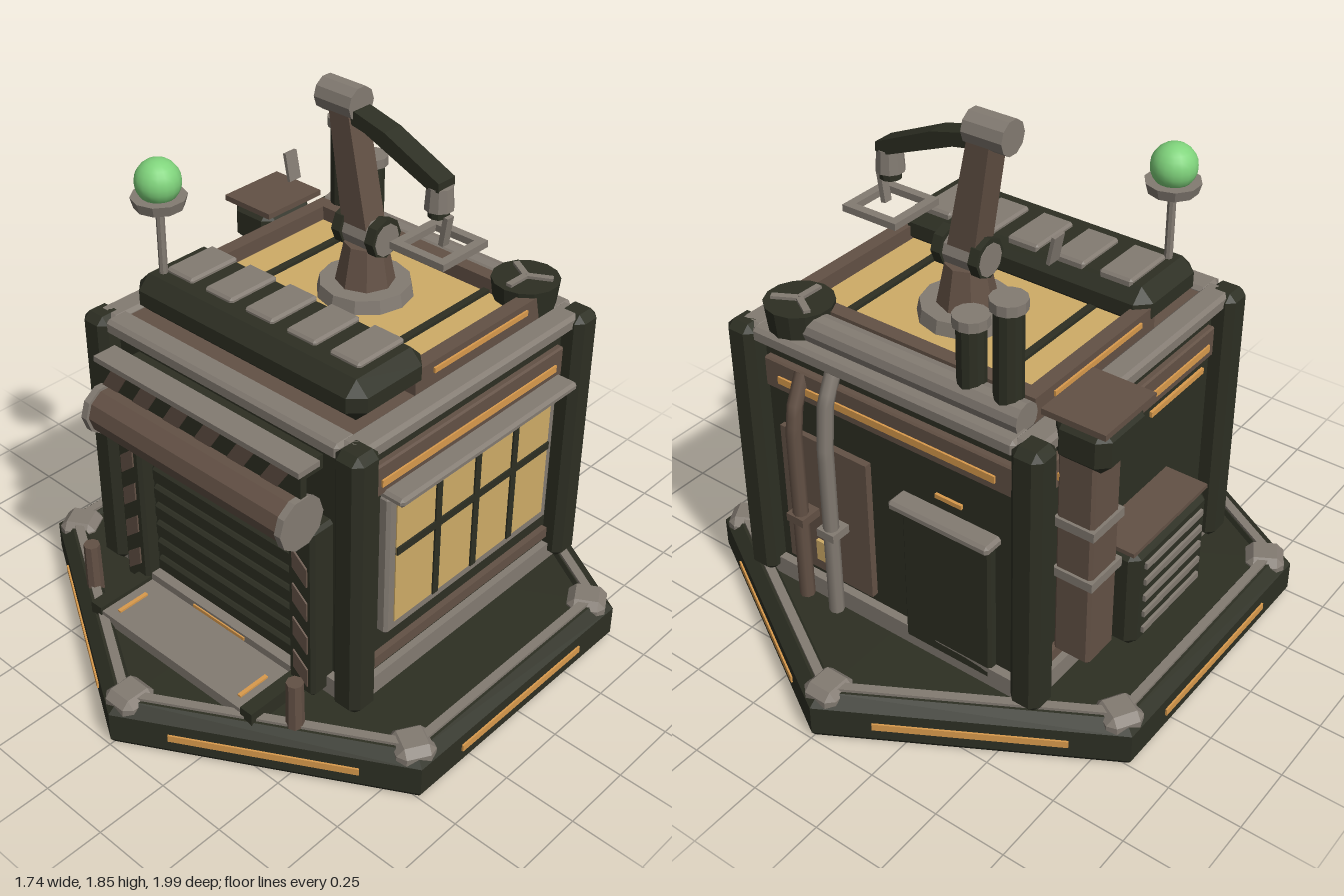
import * as THREE from 'three';
import { ConvexGeometry } from 'three/addons/geometries/ConvexGeometry.js';

const mat = (name, color) => {
  const m = new THREE.MeshStandardMaterial({ color });
  m.name = name;
  return m;
};

export function createModel() {
  const root = new THREE.Group();
  root.name = 'workshop';
  const dark = mat('dark olive', 0x2d2f23), grey = mat('warm grey', 0x837b72), brown = mat('brown', 0x635145);
  const glass = mat('yellow glass', 0xcfac67), amber = mat('amber light', 0xd99a4c), green = mat('green light', 0x80d47c);

  const flat = (g) => {
    const n = g.index ? g.toNonIndexed() : g;
    n.computeVertexNormals();
    return n;
  };
  const add = (name, g, m, x = 0, y = 0, z = 0) => {
    const mesh = new THREE.Mesh(g, m);
    mesh.name = name;
    mesh.position.set(x, y, z);
    root.add(mesh);
    return mesh;
  };
  // box with its edges cut at 45 degrees
  const chamfered = (w, h, d, c) => {
    const pts = [];
    for (const sx of [-1, 1]) for (const sy of [-1, 1]) for (const sz of [-1, 1]) {
      const x = w / 2, y = h / 2, z = d / 2;
      pts.push(new THREE.Vector3(sx * x, sy * (y - c), sz * (z - c)),
        new THREE.Vector3(sx * (x - c), sy * y, sz * (z - c)),
        new THREE.Vector3(sx * (x - c), sy * (y - c), sz * z));
    }
    return new ConvexGeometry(pts);
  };
  // box given by its limits on each axis
  const box = (name, m, x0, x1, y0, y1, z0, z1, c = 0) => {
    const w = x1 - x0, h = y1 - y0, d = z1 - z0;
    return add(name, c ? chamfered(w, h, d, c) : new THREE.BoxGeometry(w, h, d), m,
      (x0 + x1) / 2, (y0 + y1) / 2, (z0 + z1) / 2);
  };
  const cyl = (name, m, rTop, rBot, h, x, y, z, axis = 'y', sides = 12) => {
    const g = flat(new THREE.CylinderGeometry(rTop, rBot, h, sides));
    if (axis === 'x') g.rotateZ(Math.PI / 2);
    return add(name, g, m, x, y, z);
  };
  // flat polygon in xy pushed out along z, centred on z
  const plate = (name, m, pts, depth, z) => {
    const shape = new THREE.Shape(pts.map(([x, y]) => new THREE.Vector2(x, y)));
    return add(name, new THREE.ExtrudeGeometry(shape, { depth, bevelEnabled: false }), m, 0, 0, z - depth / 2);
  };

  // hexagonal platform
  const ring = (pts) => flat(new THREE.LatheGeometry(pts.map(([r, y]) => new THREE.Vector2(r, y)), 6));
  add('platform', ring([[0, 0], [0.98, 0], [0.995, 0.02], [0.995, 0.125], [0.95, 0.16], [0.9, 0.16], [0.89, 0.145], [0, 0.145]]), dark);
  add('platformTrim', ring([[0.94, 0.14], [0.94, 0.17], [0.905, 0.17], [0.905, 0.14]]), grey);
  for (let i = 0; i < 6; i++) {
    const a = i * Math.PI / 3, b = a + Math.PI / 6;
    add('cornerCap', chamfered(0.13, 0.176, 0.13, 0.025), grey, Math.sin(a) * 0.905, 0.088, Math.cos(a) * 0.905).rotation.y = a;
    add('platformLight', new THREE.BoxGeometry(0.61, 0.025, 0.01), amber, Math.sin(b) * 0.863, 0.073, Math.cos(b) * 0.863).rotation.y = b;
  }

  // building shell
  box('walls', dark, -0.53, 0.53, 0.14, 1.1, -0.57, 0.44);
  box('plinth', grey, -0.555, 0.555, 0.145, 0.215, -0.6, 0.47);
  for (const x of [-0.545, 0.545]) for (const z of [-0.585, 0.455])
    box('cornerPost', dark, x - 0.055, x + 0.055, 0.16, 1.14, z - 0.055, z + 0.055, 0.025);
  box('roofDeck', brown, -0.5, 0.5, 1.08, 1.125, -0.55, 0.42);
  for (const s of [-1, 1]) {
    box('sideRim', grey, s * 0.525 - 0.045, s * 0.525 + 0.045, 1.085, 1.14, -0.6, 0.46, 0.012);
    box('endRim', grey, -0.5, 0.5, 1.085, 1.14, s < 0 ? -0.62 : 0.4, s < 0 ? -0.53 : 0.49, 0.012);
    // side bands with light strips
    const sx = (a, b) => (s > 0 ? [a, b] : [-b, -a]);
    box('upperBand', brown, ...sx(0.52, 0.552), 0.92, 1.03, -0.52, 0.39, 0.006);
    box('lowerBand', brown, ...sx(0.52, 0.552), 0.25, 0.29, -0.52, 0.39);
    box('bandLight', amber, ...sx(0.55, 0.558), 0.953, 0.978, -0.48, 0.355);
    box('skylightSide', brown, ...sx(0.43, 0.48), 1.12, 1.21, -0.47, 0.13);
    box('roofLight', amber, ...sx(0.478, 0.487), 1.17, 1.188, -0.4, 0.05);
  }
  box('sideWallLight', amber, -0.54, -0.528, 0.86, 0.88, 0.05, 0.36);

  // large window on the left side
  box('windowFrame', grey, 0.52, 0.565, 0.37, 0.9, -0.485, 0.335, 0.01);
  box('windowPane', glass, 0.56, 0.569, 0.41, 0.865, -0.45, 0.3);
  for (const z of [0.11, -0.077, -0.265]) box('windowBar', dark, 0.565, 0.575, 0.41, 0.865, z - 0.013, z + 0.013);
  box('windowCrossBar', dark, 0.565, 0.575, 0.675, 0.702, -0.45, 0.3);
  box('windowHood', grey, 0.53, 0.625, 0.9, 0.932, -0.51, 0.345, 0.01);

  // skylight
  box('skylightBack', brown, -0.48, 0.48, 1.12, 1.21, -0.49, -0.44);
  box('skylightPane', glass, -0.43, 0.43, 1.12, 1.16, -0.44, 0.1);
  for (const x of [-0.29, 0.29]) box('skylightBar', dark, x - 0.012, x + 0.012, 1.15, 1.172, -0.44, 0.1);

  // padded roof housing at the front
  box('roofHousing', dark, -0.485, 0.485, 1.13, 1.27, 0.065, 0.39, 0.045);
  for (let i = -2; i <= 2; i++) box('roofPad', grey, i * 0.175 - 0.06, i * 0.175 + 0.06, 1.25, 1.285, 0.1, 0.3, 0.008);

  // roller door
  box('door', dark, -0.33, 0.33, 0.16, 0.82, 0.43, 0.475);
  for (let i = 0; i < 8; i++) box('doorSlat', dark, -0.32, 0.32, 0.225 + i * 0.075, 0.285 + i * 0.075, 0.47, 0.495, 0.01);
  box('doorSill', grey, -0.33, 0.33, 0.18, 0.213, 0.46, 0.515);
  box('doorSillLight', amber, -0.12, 0.12, 0.192, 0.204, 0.513, 0.52);
  cyl('rollDrum', brown, 0.08, 0.08, 0.83, 0, 0.88, 0.57, 'x', 10);
  box('hazardBoard', dark, -0.44, 0.44, 0.972, 1.052, 0.55, 0.575);
  box('boardHood', grey, -0.445, 0.445, 1.052, 1.072, 0.5, 0.587);
  box('boardBracket', dark, -0.4, 0.4, 0.99, 1.04, 0.43, 0.55);
  for (let i = 0; i < 6; i++) {
    const x = -0.42 + i * 0.14;
    plate('hazardStripe', brown, [[x, 0.974], [x + 0.07, 0.974], [x + 0.12, 1.05], [x + 0.05, 1.05]], 0.006, 0.577);
  }
  for (const s of [-1, 1]) {
    cyl('drumEnd', grey, 0.09, 0.09, 0.025, s * 0.427, 0.88, 0.57, 'x', 10);
    box('doorJamb', dark, s * 0.387 - 0.055, s * 0.387 + 0.055, 0.16, 0.82, 0.43, 0.53, 0.012);
    for (let i = 0; i < 4; i++) {
      const y = 0.25 + i * 0.135, p = [[0.36, y], [0.42, y - 0.05], [0.42, y + 0.02], [0.36, y + 0.07]].map(([x, v]) => [s * x, v]);
      plate('jambStripe', brown, p, 0.006, 0.533);
    }
    cyl('bollard', brown, 0.028, 0.03, 0.19, s * 0.475, 0.24, 0.645, 'y', 8);
    box('rampSide', dark, s * 0.355 - 0.025, s * 0.355 + 0.025, 0.14, 0.2, 0.5, 0.74);
    box('rampLight', amber, s * 0.285 - 0.007, s * 0.285 + 0.007, 0.18, 0.192, 0.58, 0.7);
  }
  box('ramp', grey, -0.33, 0.33, 0.14, 0.185, 0.48, 0.735);

  // beacon
  cyl('beaconPole', grey, 0.014, 0.014, 0.32, -0.41, 1.36, 0.31, 'y', 8);
  cyl('beaconDish', grey, 0.09, 0.08, 0.035, -0.41, 1.522, 0.31, 'y', 10);
  add('beaconLamp', new THREE.SphereGeometry(0.074, 18, 12), green, -0.41, 1.588, 0.31);

  // chimneys, roof pipe and fan along the back
  for (const [x, top] of [[-0.41, 1.53], [-0.28, 1.43]]) {
    cyl('chimney', dark, 0.045, 0.045, top - 1.12, x, (top + 1.1) / 2, -0.52);
    cyl('chimneyCap', grey, 0.056, 0.056, 0.033, x, top - 0.016, -0.52);
  }
  cyl('roofPipe', grey, 0.052, 0.052, 0.8, -0.08, 1.165, -0.53, 'x');
  cyl('fanHousing', dark, 0.112, 0.1, 0.11, 0.39, 1.17, -0.51, 'y', 14);
  for (let i = 0; i < 3; i++) {
    const a = 0.5 + i * Math.PI * 2 / 3;
    add('fanBlade', new THREE.BoxGeometry(0.085, 0.012, 0.022), grey, 0.39 + Math.cos(a) * 0.045, 1.229, -0.51 - Math.sin(a) * 0.045).rotation.y = a;
  }

  // robot arm, all in the plane z = az
  const az = -0.18;
  cyl('armDisc', grey, 0.15, 0.16, 0.05, 0, 1.18, az);
  cyl('armPedestal', brown, 0.07, 0.1, 0.15, 0, 1.265, az, 'y', 8);
  cyl('shoulder', grey, 0.055, 0.055, 0.18, 0, 1.375, az, 'x', 10);
  for (const s of [-1, 1]) cyl('shoulderCap', dark, 0.067, 0.067, 0.035, s * 0.07, 1.38, az, 'x', 8);
  plate('lowerArm', brown, [[-0.055, 1.36], [0.05, 1.36], [-0.04, 1.78], [-0.12, 1.78]], 0.09, az);
  cyl('elbow', grey, 0.056, 0.056, 0.145, -0.098, 1.798, az, 'x', 10);
  plate('upperArm', dark, [[-0.06, 1.745], [0.02, 1.73], [0.27, 1.63], [0.315, 1.63], [0.315, 1.66], [0.1, 1.755], [-0.02, 1.785], [-0.06, 1.785]], 0.075, az);
  cyl('wrist', grey, 0.042, 0.047, 0.075, 0.29, 1.598, az, 'y', 10);
  cyl('wristCollar', dark, 0.035, 0.035, 0.03, 0.29, 1.55, az, 'y', 10);
  add('toolRod', new THREE.BoxGeometry(0.018, 0.1, 0.03), grey, 0.32, 1.495, az).rotation.z = -0.15;
  box('toolLight', amber, 0.275, 0.305, 1.53, 1.545, az - 0.015, az + 0.015);
  for (const s of [-1, 1]) {
    box('toolFrameBar', grey, 0.19, 0.4, 1.427, 1.45, az + s * 0.09 - 0.015, az + s * 0.09 + 0.015);
    box('toolFrameBar', grey, 0.295 + s * 0.09 - 0.015, 0.295 + s * 0.09 + 0.015, 1.427, 1.45, az - 0.08, az + 0.08);
  }
  add('sensorPlate', new THREE.BoxGeometry(0.012, 0.095, 0.05), grey, -0.322, 1.495, az).rotation.z = 0.2;

  // air handler on the right side
  box('handlerTop', dark, -0.73, -0.54, 1.04, 1.195, -0.51, -0.28, 0.035);
  box('handlerLid', brown, -0.735, -0.52, 1.193, 1.213, -0.52, -0.265);
  box('duct', brown, -0.68, -0.55, 0.3, 1.06, -0.48, -0.34, 0.01);
  for (const y of [0.62, 0.81]) box('ductBand', grey, -0.69, -0.55, y - 0.016, y + 0.016, -0.49, -0.33);
  box('coolerBox', dark, -0.705, -0.53, 0.21, 0.595, -0.27, 0.16, 0.03);
  box('coolerLid', brown, -0.695, -0.54, 0.59, 0.605, -0.27, 0.16);
  for (let i = 0; i < 5; i++) box('coolerFin', grey, -0.715, -0.7, 0.26 + i * 0.065, 0.283 + i * 0.065, -0.22, 0.11);

  // back wall: band, door, service panel and pipes
  box('backBand', brown, -0.48, 0.48, 0.92, 1.03, -0.595, -0.56, 0.006);
  box('backLight', amber, -0.42, 0.42, 0.953, 0.978, -0.602, -0.593);
  box('backDoor', dark, -0.4, -0.06, 0.17, 0.7, -0.6, -0.56, 0.01);
  box('backDoorHood', grey, -0.42, -0.04, 0.7, 0.735, -0.64, -0.56, 0.01);
  box('backDoorLamp', amber, -0.28, -0.18, 0.775, 0.79, -0.58, -0.565);
  box('servicePanel', brown, 0.08, 0.26, 0.25, 0.78, -0.595, -0.56);
  box('servicePanel', brown, 0.28, 0.44, 0.25, 0.78, -0.59, -0.56);
  box('panelWindow', glass, 0.23, 0.31, 0.3, 0.38, -0.602, -0.59);
  for (const [x, m, top] of [[0.2, grey, 1.08], [0.33, brown, 1.02]]) {
    const path = new THREE.CurvePath();
    const pts = [[0.17, -0.64], [0.82, -0.64], [top - 0.1, -0.625], [top, -0.58]].map(([y, z]) => new THREE.Vector3(x, y, z));
    for (let i = 0; i < 3; i++) path.add(new THREE.LineCurve3(pts[i], pts[i + 1]));
    add('wallPipe', new THREE.TubeGeometry(path, 24, 0.026, 8), m);
    box('pipeClamp', m, x - 0.035, x + 0.035, 0.48, 0.51, -0.67, -0.57);
  }
  return root;
}
